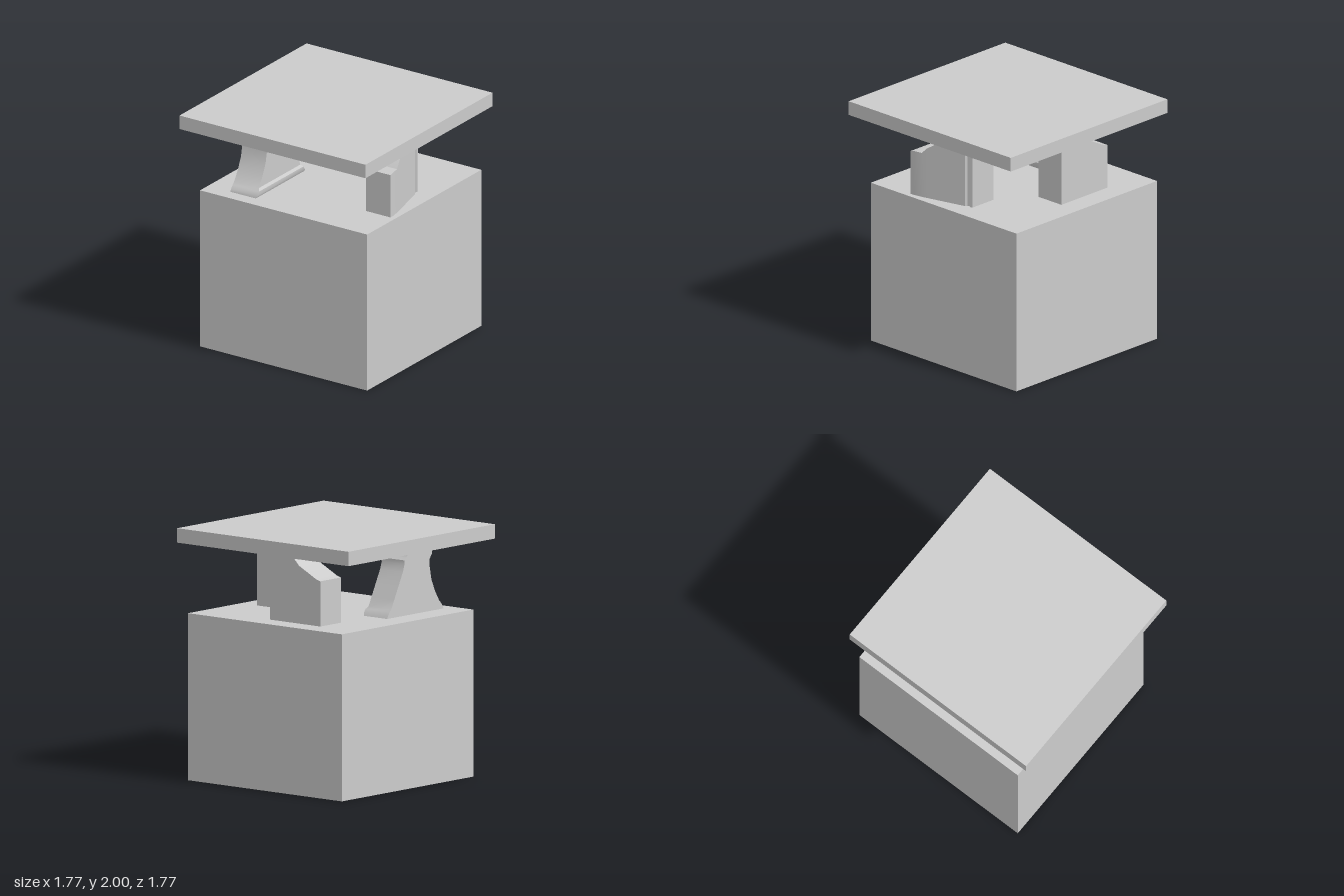
import * as THREE from 'three';
import { toCreasedNormals } from 'three/addons/utils/BufferGeometryUtils.js';

const material = new THREE.MeshStandardMaterial({ color: 0xcccccc });
const BOTTOM = 1.33; // top of the base block
const TOP = 1.885; // underside of the slab

function addMesh(group, name, geometry) {
  const mesh = new THREE.Mesh(geometry, material);
  mesh.name = name;
  group.add(mesh);
  return mesh;
}

function addBox(group, name, size, centre) {
  addMesh(group, name, new THREE.BoxGeometry(...size)).position.set(...centre);
}

// Skins four-cornered rings and closes both ends
function loft(rings) {
  const positions = [];
  const quad = (a, b, c, d) => {
    for (const p of [a, b, c, a, c, d]) positions.push(...p);
  };
  for (let i = 0; i < rings.length - 1; i++) {
    for (let j = 0; j < 4; j++) {
      const k = (j + 1) % 4;
      quad(rings[i][j], rings[i][k], rings[i + 1][k], rings[i + 1][j]);
    }
  }
  quad(...rings[rings.length - 1]);
  quad(...[...rings[0]].reverse());
  const geometry = new THREE.BufferGeometry();
  geometry.setAttribute('position', new THREE.Float32BufferAttribute(positions, 3));
  return toCreasedNormals(geometry, 0.6);
}

export function createModel() {
  const group = new THREE.Group();

  // Plain block with an overhanging square slab above it
  addBox(group, 'baseBlock', [1.59, BOTTOM, 1.59], [0, BOTTOM / 2, -0.065]);
  addBox(group, 'topSlab', [1.77, 2 - TOP, 1.77], [0, (2 + TOP) / 2, 0]);

  // Right fragment: sloping broken ends, notched inner side [y, xLeft, xRight, zFront, zBack]
  const rightLevels = [
    [1.33, -0.58, -0.34, 0.62, -0.06],
    [1.35, -0.58, -0.33, 0.615, -0.05],
    [1.38, -0.58, -0.33, 0.59, -0.03],
    [1.4, -0.58, -0.345, 0.57, -0.01],
    [1.48, -0.58, -0.345, 0.52, 0.03],
    [1.58, -0.58, -0.345, 0.475, 0.08],
    [1.68, -0.58, -0.345, 0.455, 0.13],
    [1.74, -0.58, -0.345, 0.45, 0.15],
    [1.77, -0.58, -0.33, 0.47, 0.15],
    [1.79, -0.58, -0.345, 0.485, 0.17],
    [1.81, -0.58, -0.33, 0.485, 0.185],
    [1.845, -0.58, -0.33, 0.475, 0.19],
    [1.86, -0.57, -0.345, 0.465, 0.19],
  ];
  addMesh(group, 'rightFragment', loft(rightLevels.map(([y, xl, xr, zf, zb]) => [
    [xl, y, zf], [xr, y, zf], [xr, y, zb], [xl, y, zb],
  ])));

  // Left fragment: skewed wall, broken down towards the front [z, height, groove depth]
  const leftSections = [
    [-0.22, TOP, 0], [-0.2, TOP, 0], [-0.19, TOP, 0.015], [-0.165, TOP, 0.015],
    [-0.155, TOP, 0], [0, TOP, 0], [0.05, 1.86, 0], [0.08, 1.82, 0],
    [0.13, 1.78, 0], [0.18, 1.75, 0], [0.23, 1.7, 0], [0.3, 1.7, 0], [0.34, 1.69, 0],
  ];
  addMesh(group, 'leftFragment', loft(leftSections.map(([z, h, groove]) => {
    const xl = 0.39 + (z + 0.22) * 0.232;
    const xr = Math.min(0.75, 0.63 + (z + 0.22) * 0.24) - groove;
    return [[xl, BOTTOM, z], [xr, BOTTOM, z], [xr, h, z], [xl, h, z]];
  })));

  // Back fragment: straight wall, broken down towards the right [x, height, groove depth]
  const backSections = [
    [-0.42, 1.69, 0], [-0.38, 1.7, 0], [-0.34, 1.72, 0], [-0.28, 1.75, 0],
    [-0.2, 1.79, 0], [-0.15, 1.84, 0], [-0.06, TOP, 0], [-0.03, TOP, 0],
    [-0.02, TOP, 0.015], [0.02, TOP, 0.015], [0.03, TOP, 0], [0.05, TOP, 0.01], [0.1, TOP, 0],
  ];
  addMesh(group, 'backFragment', loft(backSections.map(([x, h, groove]) => {
    const zf = -0.43 - groove;
    return [[x, BOTTOM, zf], [x, BOTTOM, -0.68], [x, h, -0.68], [x, h, zf]];
  })));

  return group;
}
